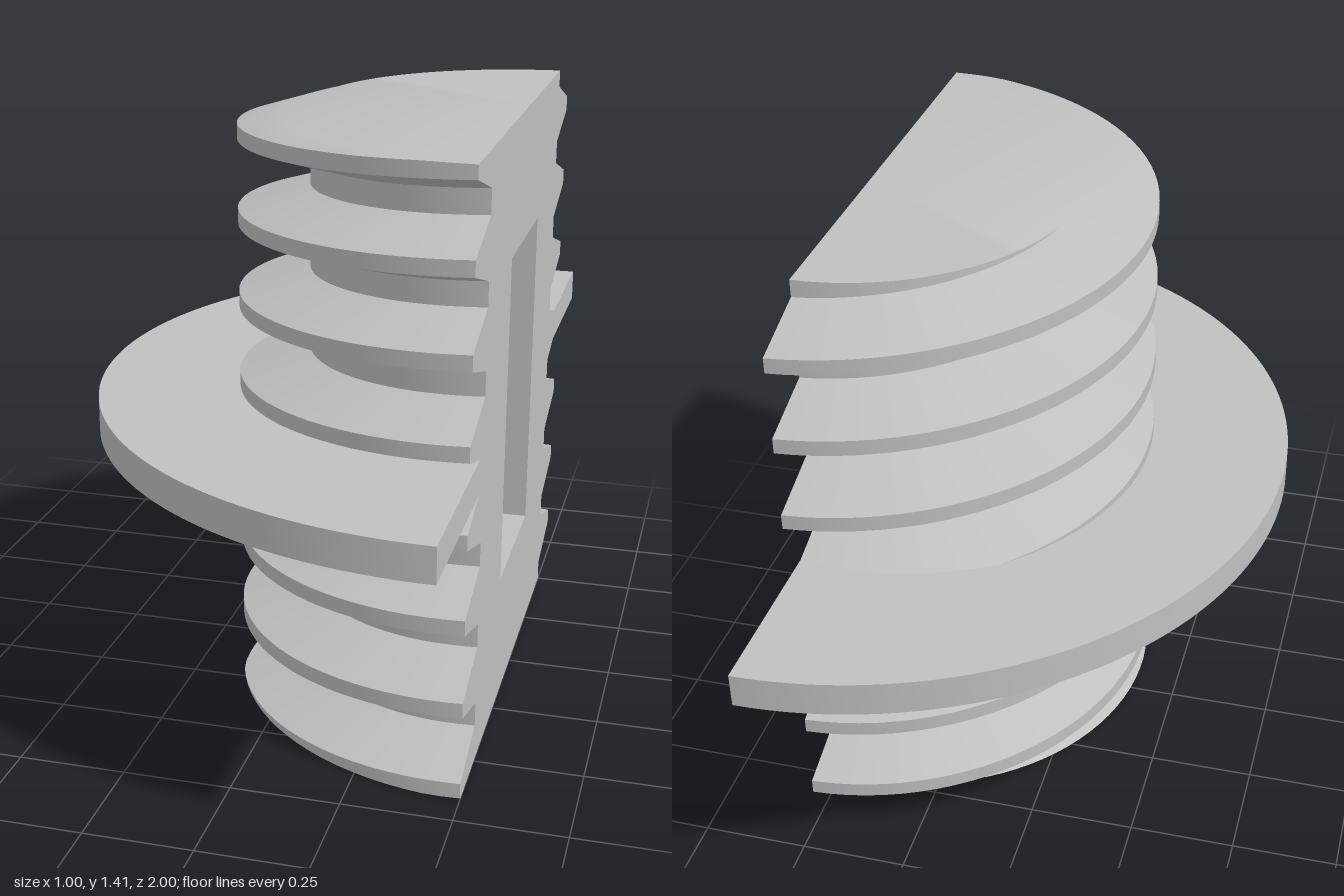
import * as THREE from 'three';
import { toCreasedNormals } from 'three/addons/utils/BufferGeometryUtils.js';

const H = 1.41;            // height of the plug
const CUT = 0.5;           // x of the flat cut face, also the screw axis
const ROOT = 0.5, TIP = 0.667, PITCH = 0.1965;
const HALF_TIP = 0.018, HALF_BASE = 0.07;
const SEGMENTS = 48;

// height of the first thread crest; t runs 0 (back) to 1 (front) round the half turn
const crest = t => 0.12 + t * PITCH / 2;

// thread radius at any height
function radiusAt(t, y) {
  const d = (y - crest(t)) / PITCH;
  const off = Math.abs(d - Math.round(d)) * PITCH;
  const k = THREE.MathUtils.clamp((off - HALF_TIP) / (HALF_BASE - HALF_TIP), 0, 1);
  return TIP + (ROOT - TIP) * k;
}

// thread cross-section as [radius, y], clipped flat at both ends
function section(t) {
  const pts = [];
  for (let k = -2; k <= 8; k++) {
    for (const o of [-HALF_BASE, -HALF_TIP, HALF_TIP, HALF_BASE]) {
      const y = THREE.MathUtils.clamp(crest(t) + k * PITCH + o, 0, H);
      pts.push([radiusAt(t, y), y]);
    }
  }
  return pts;
}

function screwGeometry() {
  const positions = [];
  const tri = (a, b, c) => {
    const area = new THREE.Triangle(a, b, c).getArea();
    if (area > 1e-8) for (const p of [a, b, c]) positions.push(p.x, p.y, p.z);
  };
  const rows = [];
  for (let i = 0; i <= SEGMENTS; i++) {
    const t = i / SEGMENTS, a = Math.PI * t;
    rows.push(section(t).map(([r, y]) =>
      new THREE.Vector3(CUT - r * Math.sin(a), y, -r * Math.cos(a))));
  }
  const last = rows[0].length - 1;
  const top = new THREE.Vector3(CUT, H, 0), bottom = new THREE.Vector3(CUT, 0, 0);
  for (let i = 0; i < SEGMENTS; i++) {
    const p = rows[i], q = rows[i + 1];
    for (let j = 0; j < last; j++) {
      tri(p[j], q[j], p[j + 1]);
      tri(q[j], q[j + 1], p[j + 1]);
    }
    tri(top, p[last], q[last]);
    tri(bottom, q[0], p[0]);
  }
  const geo = new THREE.BufferGeometry();
  geo.setAttribute('position', new THREE.Float32BufferAttribute(positions, 3));
  return toCreasedNormals(geo, Math.PI / 6);
}

export function createModel() {
  const group = new THREE.Group();
  const grey = new THREE.MeshStandardMaterial({ color: 0xc0c0c0 });
  grey.name = 'grey';
  const add = (name, geo) => {
    const mesh = new THREE.Mesh(geo, grey);
    mesh.name = name;
    group.add(mesh);
    return mesh;
  };

  // threaded half cylinder with end caps
  add('threadedBody', screwGeometry());

  // flat cut face with a rectangular opening
  const w = 0.195, y0 = 0.315, y1 = 1.1, depth = 0.195;
  const outline = [
    ...section(0).map(([r, y]) => new THREE.Vector2(r, y)),
    ...section(1).reverse().map(([r, y]) => new THREE.Vector2(-r, y)),
  ].filter((p, i, all) => i === 0 || p.distanceTo(all[i - 1]) > 1e-5);
  const face = new THREE.Shape(outline);
  face.holes.push(new THREE.Path([
    new THREE.Vector2(-w, y0), new THREE.Vector2(-w, y1),
    new THREE.Vector2(w, y1), new THREE.Vector2(w, y0),
  ]));
  add('cutFace', new THREE.ShapeGeometry(face).rotateY(Math.PI / 2).translate(CUT, 0, 0));

  // pocket: box turned inside out, without its +x side
  const box = new THREE.BoxGeometry(depth, y1 - y0, 2 * w);
  box.setIndex(Array.from(box.index.array).slice(6).reverse());
  box.clearGroups();
  const pocket = box.toNonIndexed();
  pocket.computeVertexNormals();
  add('pocket', pocket.translate(CUT - depth / 2, (y0 + y1) / 2, 0));

  // half-ring flange round the middle
  const ring = new THREE.Shape();
  ring.absarc(0, 0, 1, Math.PI / 2, Math.PI * 1.5, false);
  ring.absarc(0, 0, 0.49, Math.PI * 1.5, Math.PI / 2, true);
  const flange = new THREE.ExtrudeGeometry(ring, { depth: 0.08, bevelEnabled: false, curveSegments: 40 });
  flange.rotateX(-Math.PI / 2).translate(CUT, 0.67, 0);
  add('flange', toCreasedNormals(flange, Math.PI / 6));

  return group;
}
